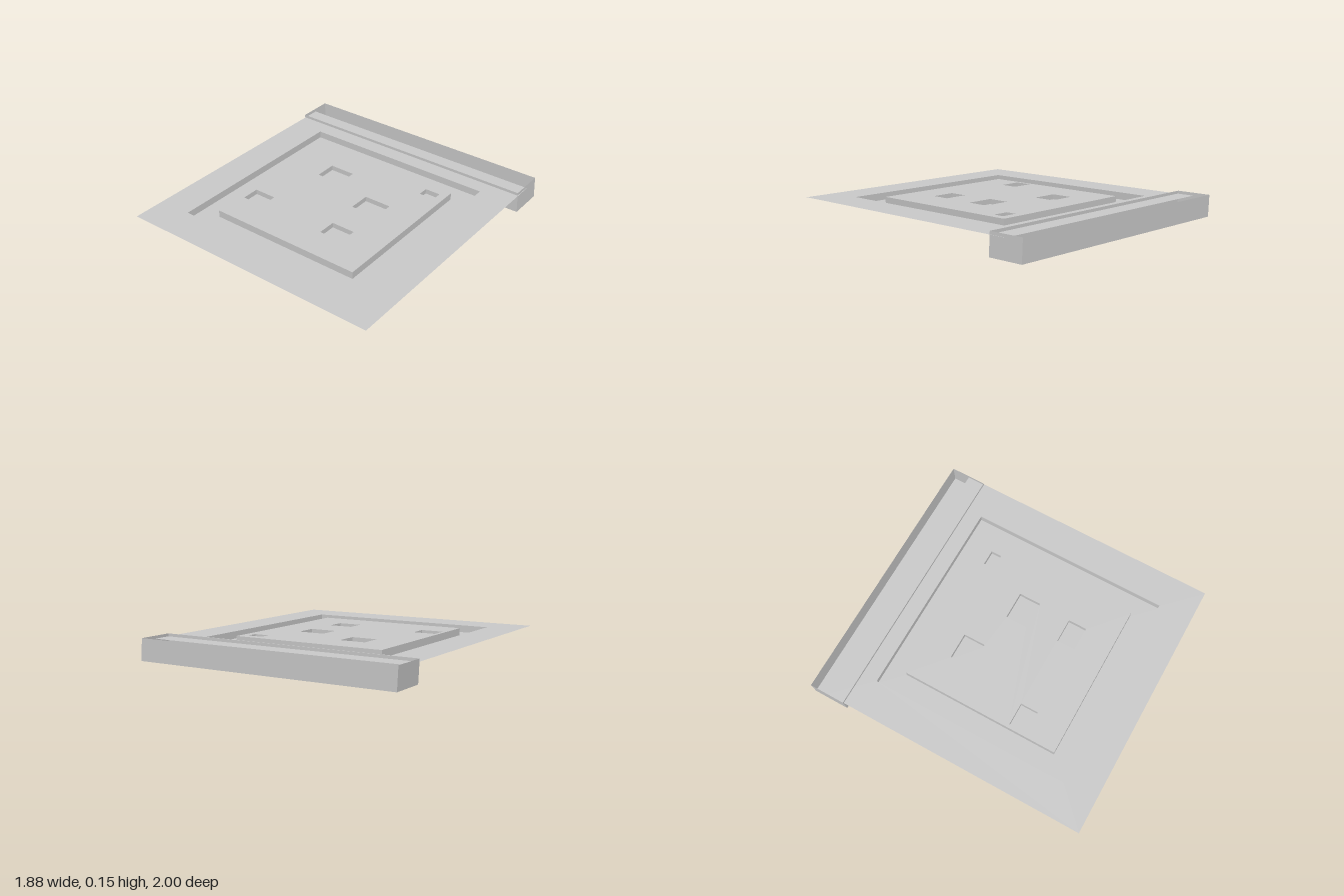
import * as THREE from 'three';

const material = new THREE.MeshStandardMaterial({ color: 0xcccccc, side: THREE.DoubleSide, flatShading: true });
const GROUND = 0.13, FLOOR = 0.08, PIT_FLOOR = 0.095;

// Rectangles are [x0, x1, z0, z1]
const site = [-0.935, 0.935, -0.875, 1];
const trench = [-0.7, 0.7, -0.64, 0.765];
const island = [-0.555, 0.555, -0.5, 0.62];
const pits = [
  [-0.315, -0.13, -0.295, -0.14],
  [0.12, 0.315, -0.11, 0.045],
  [0.39, 0.5, -0.44, -0.365],
  [-0.53, -0.37, 0.275, 0.4],
  [0.135, 0.305, 0.275, 0.405],
];

function outline([x0, x1, z0, z1], Type) {
  return new Type([[x0, z0], [x0, z1], [x1, z1], [x1, z0]].map(([x, z]) => new THREE.Vector2(x, -z)));
}

// Flat horizontal sheet with rectangular openings
function sheet(rect, holes, y) {
  const shape = outline(rect, THREE.Shape);
  shape.holes = holes.map((h) => outline(h, THREE.Path));
  return new THREE.ShapeGeometry(shape).rotateX(-Math.PI / 2).translate(0, y, 0);
}

// Box shell without a lid, and without a floor unless asked for
function shell([x0, x1, z0, z1], y0, y1, floor = false) {
  const geo = new THREE.BoxGeometry(x1 - x0, y1 - y0, z1 - z0);
  geo.translate((x0 + x1) / 2, (y0 + y1) / 2, (z0 + z1) / 2);
  const index = Array.from(geo.index.array);
  index.splice(12, floor ? 6 : 12);
  geo.setIndex(index);
  geo.clearGroups();
  return geo;
}

export function createModel() {
  const model = new THREE.Group();
  const add = (name, geometry) => {
    const mesh = new THREE.Mesh(geometry, material);
    mesh.name = name;
    model.add(mesh);
  };

  // Ground sheet with a sunken square trench around a raised island
  add('groundSheet', sheet(site, [trench], GROUND));
  add('trenchOuterWalls', shell(trench, FLOOR, GROUND));
  add('trenchFloor', sheet(trench, [island], FLOOR));
  add('islandWalls', shell(island, FLOOR, GROUND));
  add('islandTop', sheet(island, pits, GROUND));

  // Shallow pits in the island
  pits.forEach((pit, i) => add(`pit${i + 1}`, shell(pit, PIT_FLOOR, GROUND, true)));

  // Open trough along the back, leaning slightly sideways
  const trough = shell([-0.936, 0.934, -1, -0.75], 0, 0.15, true);
  const p = trough.attributes.position;
  for (let i = 0; i < p.count; i++) p.setX(i, p.getX(i) - 0.004 * Math.sign(p.getY(i) - 0.075));
  add('backTrough', trough);

  return model;
}
